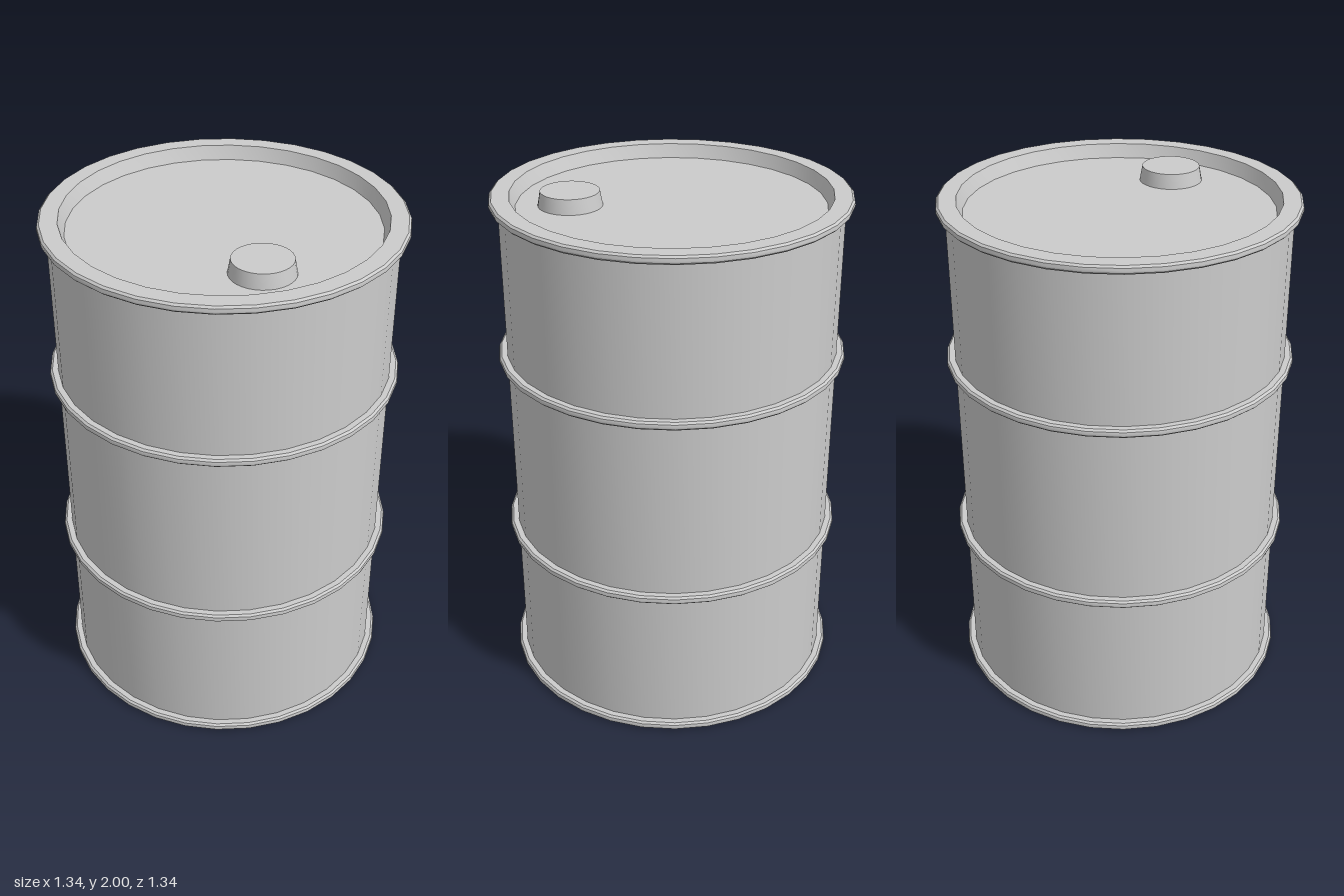
import * as THREE from 'three';
import { toCreasedNormals } from 'three/addons/utils/BufferGeometryUtils.js';

const SIDES = 32;
const BODY_R = 0.638;
const RIM_R = 0.67;

// Revolve a profile of [radius, height] pairs, listed upward along the outside
function lathe(name, profile, material) {
  const points = profile.map(([r, y]) => new THREE.Vector2(r, y));
  const geometry = toCreasedNormals(new THREE.LatheGeometry(points, SIDES), 0.5);
  const mesh = new THREE.Mesh(geometry, material);
  mesh.name = name;
  return mesh;
}

// Rounded bead standing out from the drum wall, centred at height y
function bead(y, half = 0.016) {
  return [
    [BODY_R, y - half], [RIM_R - 0.01, y - half], [RIM_R - 0.002, y - half * 0.55],
    [RIM_R, y], [RIM_R - 0.002, y + half * 0.55], [RIM_R - 0.01, y + half], [BODY_R, y + half],
  ];
}

export function createModel() {
  const group = new THREE.Group();
  group.name = 'drum';
  const metal = new THREE.MeshStandardMaterial({ color: 0xcccccc });

  // Cylindrical wall between the end rims
  group.add(lathe('wall', [[BODY_R, 0.03], [BODY_R, 1.97]], metal));

  // End rims, each turning inward to a sloped wall and a recessed end plate
  const top = 1.997, lidY = 1.945;
  group.add(lathe('topRimAndLid',
    [...bead(top - 0.016), [0.595, top], [0.575, lidY], [0, lidY]], metal));
  group.add(lathe('bottomRimAndBase',
    [[0, 0.055], [0.575, 0.055], [0.595, 0], ...bead(0.016)], metal));

  // Two rolling hoops around the wall
  for (const [name, y] of [['lowerHoop', 0.631], ['upperHoop', 1.373]]) {
    group.add(lathe(name, bead(y), metal));
  }

  // Tapered filler cap on the lid
  const cap = lathe('fillerCap', [[0.12, lidY], [0.11, 2], [0, 2]], metal);
  cap.position.set(-0.14, 0, 0.345);
  group.add(cap);

  return group;
}
